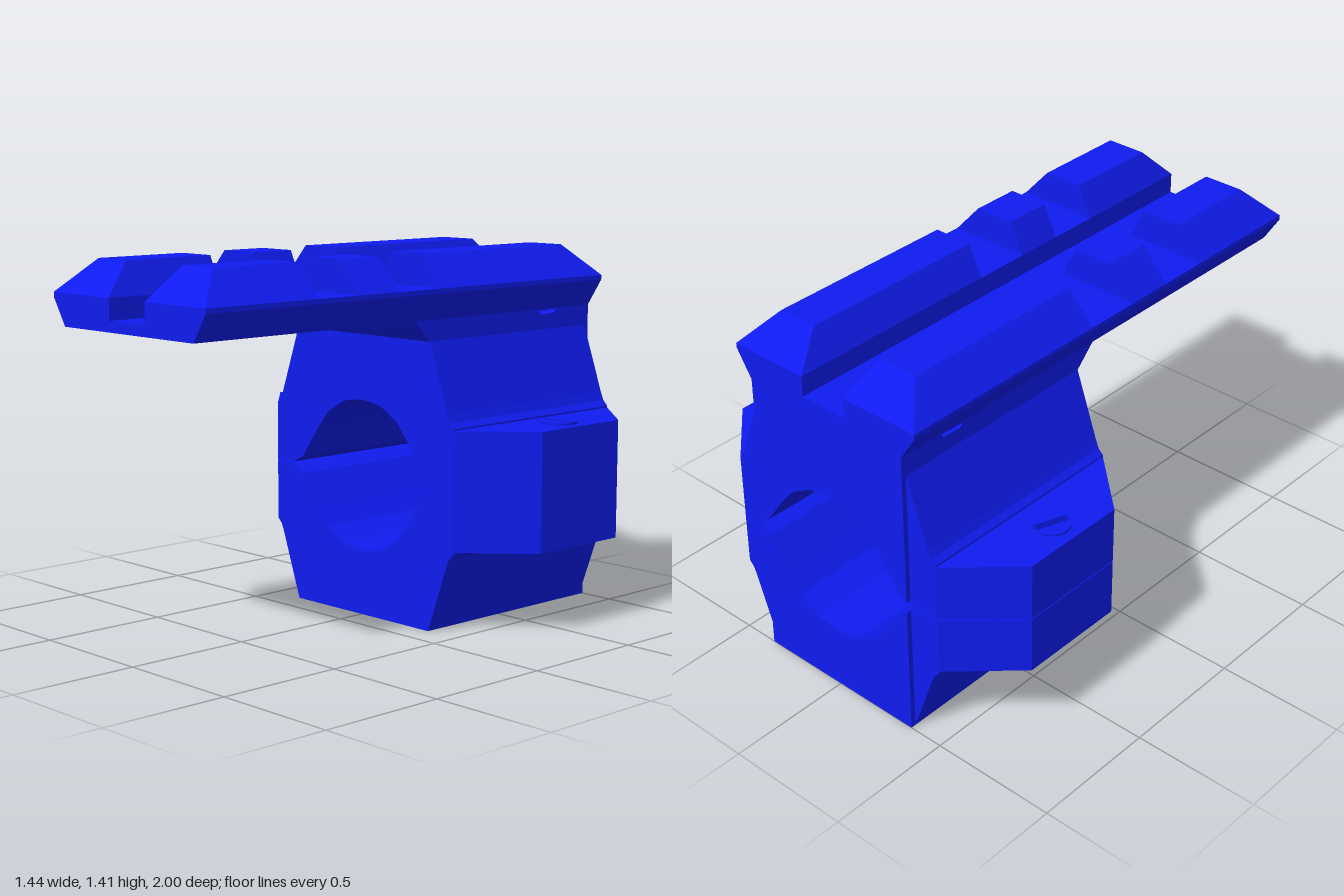
import * as THREE from 'three';

const MID = 0.545; // height of the split between the clamp halves
const FRONT = -0.11, BACK = -0.98;

export function createModel() {
  const group = new THREE.Group();
  const material = new THREE.MeshStandardMaterial({ color: 0x0f1cf0, flatShading: true, side: THREE.DoubleSide });

  const add = (name, geometry) => {
    const mesh = new THREE.Mesh(geometry, material);
    mesh.name = name;
    group.add(mesh);
    return mesh;
  };
  const shapeOf = (pts) => new THREE.Shape(pts.map(([x, y]) => new THREE.Vector2(x, y)));
  const extrude = (shape, depth) =>
    new THREE.ExtrudeGeometry(shape, { depth, bevelEnabled: false, curveSegments: 12 });
  const mirrorX = (pts) => pts.map(([x, y]) => [-x, y]).reverse();

  // Clamp halves: the right half of the upper outline, mirrored across x and then across the split
  const bore = [[0, 0.84], [0.1, 0.825], [0.19, 0.772], [0.25, 0.7], [0.335, 0.58]];
  const bodySide = [...bore, [0.395, MID], [0.485, MID], [0.485, 0.78], [0.465, 0.8], [0.452, 0.83], [0.36, 1.09]];
  const plateSide = [...bore, [0.36, 0.567], [0.36, 1.09]];
  const addHalves = (name, side, z0, z1) => {
    for (const upper of [true, false]) {
      const outline = [...side, ...mirrorX(side).slice(0, -1)].map(([x, y]) => {
        if (!upper) return [x, 2 * MID - y];
        return [x, x < 0 && y === MID ? MID + 0.004 : y]; // thin gap on one side
      });
      const geometry = extrude(shapeOf(outline), z1 - z0);
      geometry.translate(0, 0, z0);
      add((upper ? 'upper' : 'lower') + name, geometry);
    }
  };
  addHalves('ClampBody', bodySide, BACK, FRONT);
  addHalves('BackPlate', plateSide, -1, BACK);

  // Ears with tapered ends, bored for the screws, and slotted screw heads
  const screwX = 0.615, screwZ = -0.54;
  for (const s of [1, -1]) {
    const plan = [[0.44, -BACK], [0.485, -BACK], [0.72, 0.76], [0.72, 0.33], [0.485, -FRONT], [0.44, -FRONT]];
    const ear = (y0, y1) => {
      const shape = shapeOf(plan.map(([x, y]) => [s * x, y]));
      shape.holes.push(new THREE.Path().absarc(s * screwX, -screwZ, 0.068, 0, Math.PI * 2));
      const geometry = extrude(shape, y1 - y0);
      geometry.rotateX(-Math.PI / 2);
      geometry.translate(0, y0, 0);
      return geometry;
    };
    const label = s > 0 ? 'left' : 'right';
    add(label + 'UpperEar', ear(s > 0 ? MID : MID + 0.004, 0.773));
    add(label + 'LowerEar', ear(0.32, MID));

    const head = new THREE.Shape().absarc(0, 0, 0.07, 0, Math.PI * 2);
    const w = 0.066, h = 0.015;
    head.holes.push(shapeOf([[-w, -h], [-w, h], [w, h], [w, -h]]));
    const headGeometry = extrude(head, 0.03);
    headGeometry.rotateX(-Math.PI / 2);
    const screw = add(label + 'ScrewHead', headGeometry);
    screw.position.set(s * screwX, 0.752, screwZ);
    screw.rotation.y = s > 0 ? 0 : THREE.MathUtils.degToRad(70);
  }

  // Neck under the rail, with its sloped front and small cross hole
  const neck = shapeOf([[-1, 1.09], [FRONT, 1.09], [-0.03, 1.17], [-1, 1.17]]);
  neck.holes.push(shapeOf([[-0.705, 1.162], [-0.72, 1.148], [-0.8, 1.152], [-0.808, 1.166]]));
  const neckGeometry = extrude(neck, 0.72);
  neckGeometry.rotateY(-Math.PI / 2);
  neckGeometry.translate(0.36, 0, 0);
  add('neck', neckGeometry);

  // Rail base with flared sides and a groove along the middle
  const railSide = [[0.36, 1.17], [0.425, 1.272], [0.425, 1.29], [0.1, 1.29], [0.1, 1.21]];
  const railGeometry = extrude(shapeOf([...railSide, ...mirrorX(railSide)]), 2);
  railGeometry.translate(0, 0, -1);
  add('railBase', railGeometry);

  // Raised rail blocks: boxes narrowed toward the top, hipped at the rail's ends
  const blocks = [
    { z: [0.5, 1], top: [0.5, 0.88] },
    { z: [0.11, 0.3], top: [0.11, 0.3] },
    { z: [-1, FRONT], top: [-0.88, FRONT] },
  ];
  for (const s of [1, -1]) {
    for (const { z, top } of blocks) {
      const geometry = new THREE.BoxGeometry(1, 1, 1);
      const p = geometry.attributes.position;
      for (let i = 0; i < p.count; i++) {
        const high = p.getY(i) > 0;
        const outer = p.getX(i) * s > 0;
        const x = high ? (outer ? 0.317 : 0.157) : (outer ? 0.425 : 0.1);
        p.setXYZ(i, s * x, high ? 1.41 : 1.29, (high ? top : z)[p.getZ(i) > 0 ? 1 : 0]);
      }
      geometry.computeVertexNormals();
      add('railBlock', geometry);
    }
  }
  return group;
}
